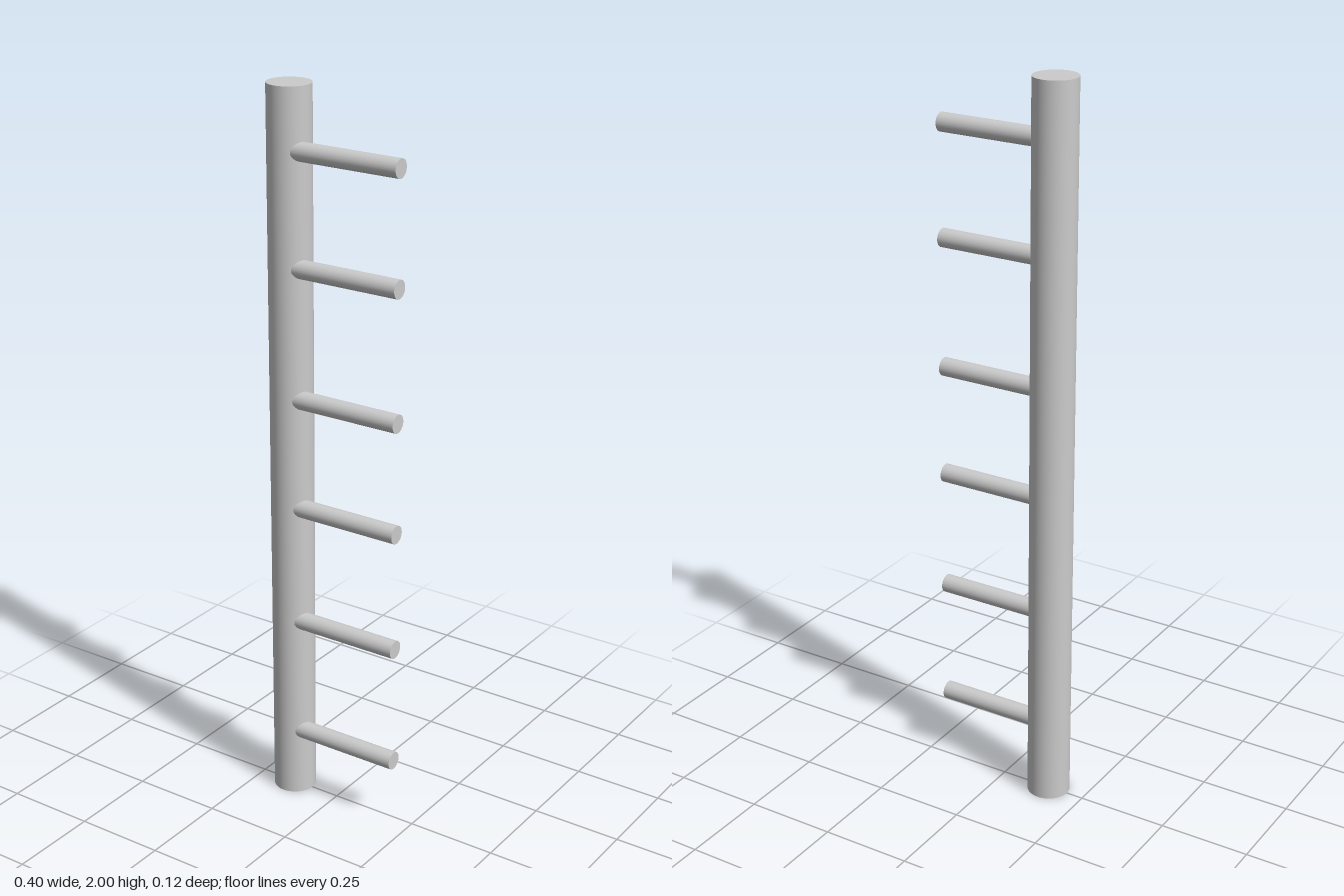
import * as THREE from 'three';

const POST = { x: -0.143, radius: 0.0585, height: 2 };
const PEG = { tip: 0.202, z: 0.022, radius: 0.025 };
const PEG_HEIGHTS = [0.195, 0.535, 0.87, 1.178, 1.533, 1.836];

export function createModel() {
  const model = new THREE.Group();
  model.name = 'peggedPole';
  const material = new THREE.MeshStandardMaterial({ color: 0xcccccc });

  // Upright post
  const post = new THREE.Mesh(
    new THREE.CylinderGeometry(POST.radius, POST.radius, POST.height, 64), material);
  post.name = 'post';
  post.position.set(POST.x, POST.height / 2, 0);
  model.add(post);

  // Pegs start inside the post and point to the model's left, set forward of its axis
  const length = PEG.tip - POST.x;
  const pegGeometry = new THREE.CylinderGeometry(PEG.radius, PEG.radius, length, 40);
  pegGeometry.rotateZ(-Math.PI / 2);
  PEG_HEIGHTS.forEach((y, i) => {
    const peg = new THREE.Mesh(pegGeometry, material);
    peg.name = `peg${i + 1}`;
    peg.position.set(POST.x + length / 2, y, PEG.z);
    model.add(peg);
  });

  return model;
}
